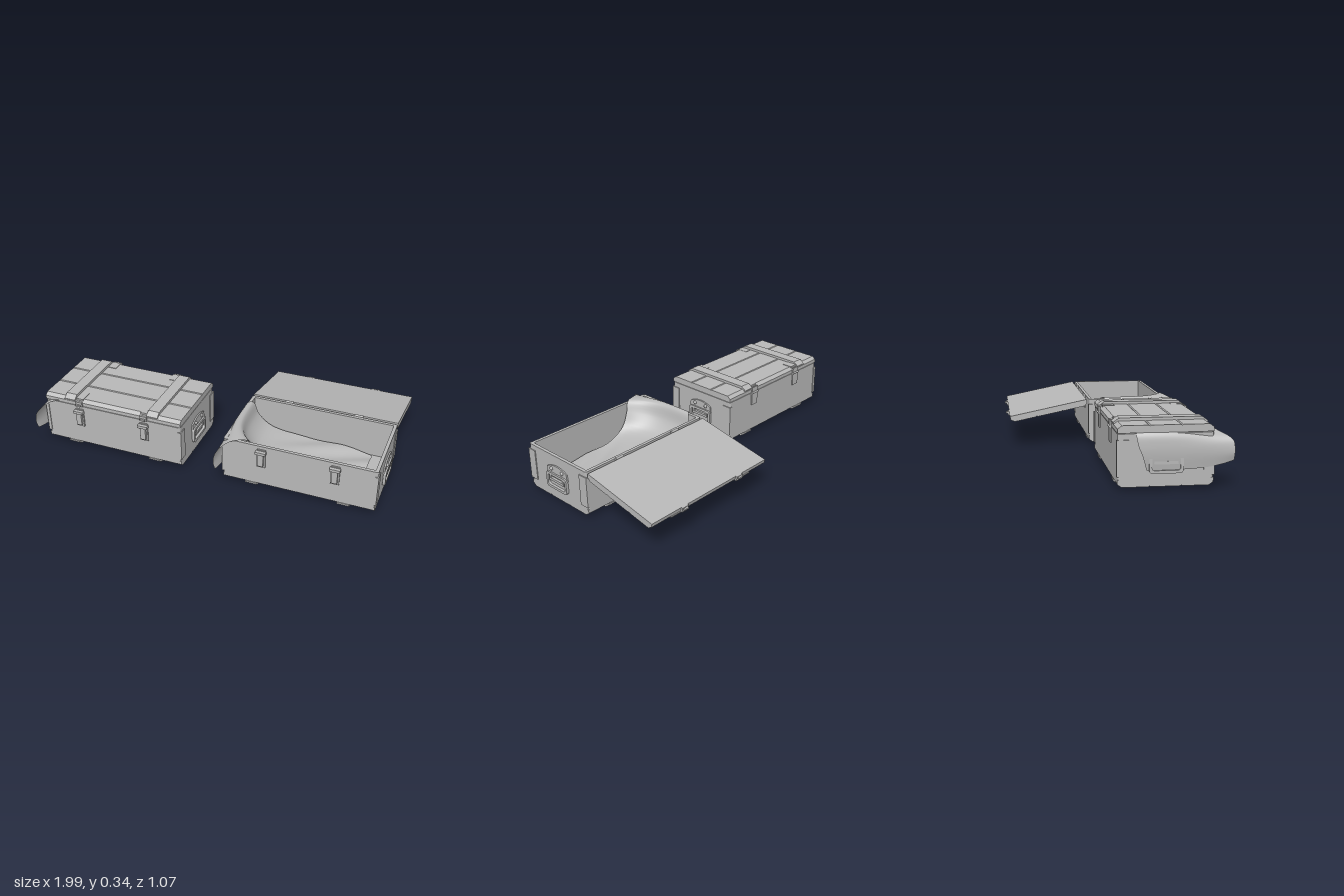
import * as THREE from 'three';

const metal = new THREE.MeshStandardMaterial({ color: 0xb8b8b8 });
metal.name = 'grey';
const cloth = new THREE.MeshStandardMaterial({ color: 0xb8b8b8, side: THREE.DoubleSide });
cloth.name = 'grey cloth';

function add(parent, name, geo, mat = metal) {
  const m = new THREE.Mesh(geo, mat);
  m.name = name;
  parent.add(m);
  return m;
}

function box(parent, name, x0, x1, y0, y1, z0, z1) {
  const g = new THREE.BoxGeometry(x1 - x0, y1 - y0, z1 - z0);
  g.translate((x0 + x1) / 2, (y0 + y1) / 2, (z0 + z1) / 2);
  return add(parent, name, g);
}

// Extrudes a (z, y) outline along x
function alongX(outline, x0, x1) {
  const shape = outline instanceof THREE.Shape
    ? outline : new THREE.Shape(outline.map(p => new THREE.Vector2(p[0], p[1])));
  const g = new THREE.ExtrudeGeometry(shape, { depth: x1 - x0, bevelEnabled: false, curveSegments: 6 });
  return g.rotateY(-Math.PI / 2).translate(x1, 0, 0);
}

function roundRect(target, x0, x1, y0, y1, r) {
  target.moveTo(x0 + r, y0);
  target.lineTo(x1 - r, y0);
  target.quadraticCurveTo(x1, y0, x1, y0 + r);
  target.lineTo(x1, y1 - r);
  target.quadraticCurveTo(x1, y1, x1 - r, y1);
  target.lineTo(x0 + r, y1);
  target.quadraticCurveTo(x0, y1, x0, y1 - r);
  target.lineTo(x0, y0 + r);
  target.quadraticCurveTo(x0, y0, x0 + r, y0);
  return target;
}

const HALF = 0.425, BACK = -0.04, FRONT = 0.432;
const STRAPS = [-0.265, 0.255], LATCHES = [-0.205, 0.203];

// Three boards with softened outer edges; y runs from the inner face (0) outwards
function boards(parent, name, z0, z1, t, dir, y) {
  const w = (z1 - z0) / 3, c = 0.004;
  for (let i = 0; i < 3; i++) {
    const a = z0 + i * w, b = a + w;
    const ca = i === 0 ? 0.016 : c, cb = i === 2 ? 0.016 : c;
    let pts = [[a, 0], [b, 0], [b, t - cb], [b - cb * 1.3, t], [a + ca * 1.3, t], [a, t - ca]];
    pts = pts.map(p => [p[0], y + dir * p[1]]);
    add(parent, name, alongX(pts, -HALF, HALF));
  }
}

function makeLid() {
  const lid = new THREE.Group();
  lid.name = 'lid';
  boards(lid, 'lidBoard', 0.008, 0.48, 0.037, 1, 0.001);
  for (const x of STRAPS) {
    add(lid, 'lidStrap', alongX([[0.006, 0.026], [0.482, 0.026], [0.482, 0.032],
      [0.452, 0.053], [0.036, 0.053], [0.006, 0.032]], x - 0.033, x + 0.033));
  }
  for (const x of LATCHES) {
    // Catch wrapped over the front edge
    box(lid, 'latchCatch', x - 0.022, x + 0.022, 0.0, 0.028, 0.478, 0.49);
    box(lid, 'latchCatchTop', x - 0.022, x + 0.022, 0.026, 0.04, 0.4, 0.47);
    box(lid, 'latchHook', x - 0.014, x + 0.014, 0.004, 0.014, 0.485, 0.5);
    // Hinge leaf on the back edge
    box(lid, 'hingeLeaf', x - 0.026, x + 0.026, 0.004, 0.034, 0.0, 0.01);
    box(lid, 'hingeLeafTop', x - 0.026, x + 0.026, 0.03, 0.041, 0.02, 0.085);
  }
  return lid;
}

function makeHandle() {
  const h = new THREE.Group();
  h.name = 'sideHandle';
  // Back plate with an arched top
  const plate = new THREE.Shape();
  plate.moveTo(-0.085, 0.165);
  plate.lineTo(0.085, 0.165);
  plate.lineTo(0.08, 0.205);
  plate.quadraticCurveTo(0, 0.245, -0.08, 0.205);
  add(h, 'handlePlate', alongX(plate, 0, 0.008));
  // Hanging loop
  const loop = roundRect(new THREE.Shape(), -0.084, 0.084, 0.085, 0.178, 0.02);
  loop.holes.push(roundRect(new THREE.Path(), -0.07, 0.07, 0.1, 0.163, 0.014));
  add(h, 'handleLoop', alongX(loop, 0.002, 0.017));
  box(h, 'handleGrip', 0.002, 0.016, 0.13, 0.145, -0.058, 0.058);
  for (const s of [-1, 1]) {
    box(h, 'handleArm', 0.0, 0.014, 0.132, 0.172, s * 0.053 - 0.007, s * 0.053 + 0.007);
    const rivet = new THREE.SphereGeometry(0.011, 12, 8);
    add(h, 'rivet', rivet).position.set(0.007, 0.2, s * 0.043);
  }
  h.position.z = 0.196;
  return h;
}

// Draped cloth: each row is back edge [x, y, z] then front edge [x, y, z]
const DRAPE = [
  [-0.434, 0.10, 0.10, -0.435, 0.14, 0.53],
  [-0.443, 0.17, 0.08, -0.445, 0.18, 0.532],
  [-0.443, 0.22, 0.06, -0.435, 0.24, 0.525],
  [-0.435, 0.268, 0.05, -0.39, 0.278, 0.465],
  [-0.418, 0.289, 0.05, -0.34, 0.291, 0.437],
  [-0.395, 0.28, 0.03, -0.28, 0.288, 0.418],
  [-0.37, 0.20, 0.01, -0.25, 0.23, 0.4],
  [-0.30, 0.13, 0.0, -0.2, 0.15, 0.39],
  [-0.12, 0.095, -0.005, -0.08, 0.1, 0.385],
  [0.12, 0.085, -0.008, 0.12, 0.085, 0.395],
  [0.31, 0.075, -0.008, 0.325, 0.075, 0.38],
];

function makeCloth() {
  const back = new THREE.CatmullRomCurve3(DRAPE.map(d => new THREE.Vector3(d[0], d[1], d[2])));
  const front = new THREE.CatmullRomCurve3(DRAPE.map(d => new THREE.Vector3(d[3], d[4], d[5])));
  const U = 50, V = 24;
  const g = new THREE.PlaneGeometry(1, 1, V, U);
  const pos = g.attributes.position;
  for (let i = 0; i <= U; i++) {
    const a = back.getPoint(i / U), b = front.getPoint(i / U);
    for (let j = 0; j <= V; j++) {
      const t = j / V, k = t ** 4;
      const x = a.x + (b.x - a.x) * k;
      const inside = THREE.MathUtils.smoothstep(x, -0.32, 0.1);
      const fold = 0.014 * inside * Math.sin(14 * x + 9 * t) * Math.sin(6 * t + 5 * x);
      const y = a.y + (b.y - a.y) * k + fold;
      pos.setXYZ(i * (V + 1) + j, x, y, a.z + (b.z - a.z) * t);
    }
  }
  g.computeVertexNormals();
  return g;
}

function makeCrate(name, x, lidAngle) {
  const crate = new THREE.Group();
  crate.name = name;

  // Hollow body
  const wall = roundRect(new THREE.Shape(), -HALF, HALF, -FRONT, -BACK, 0.014);
  wall.holes.push(roundRect(new THREE.Path(), -HALF + 0.018, HALF - 0.018, -FRONT + 0.018, -BACK - 0.018, 0.004));
  const walls = new THREE.ExtrudeGeometry(wall, { depth: 0.227, bevelEnabled: false, curveSegments: 5 });
  add(crate, 'bodyWalls', walls.rotateX(-Math.PI / 2).translate(0, 0.053, 0));

  // Floor boards and skids
  boards(crate, 'floorBoard', BACK, FRONT, 0.037, -1, 0.055);
  for (const s of STRAPS) {
    add(crate, 'skid', alongX([[BACK, 0.03], [BACK, 0.02], [BACK + 0.03, 0],
      [FRONT - 0.03, 0], [FRONT, 0.02], [FRONT, 0.03]], s - 0.033, s + 0.033));
  }

  // Corner guards
  for (const s of [-1, 1]) {
    const e0 = s > 0 ? HALF - 0.002 : -HALF - 0.005, e1 = e0 + 0.007;
    const f0 = s > 0 ? HALF - 0.014 : -HALF - 0.005, f1 = f0 + 0.019;
    box(crate, 'cornerGuard', e0, e1, 0.07, 0.25, FRONT - 0.05, FRONT + 0.004);
    box(crate, 'cornerGuard', e0, e1, 0.07, 0.25, BACK - 0.004, BACK + 0.054);
    box(crate, 'cornerGuardFront', f0, f1, 0.07, 0.25, FRONT - 0.008, FRONT + 0.004);
    box(crate, 'cornerGuardBack', f0, f1, 0.07, 0.25, BACK - 0.004, BACK + 0.008);

    const handle = makeHandle();
    handle.position.x = s * HALF;
    if (s < 0) handle.rotation.y = Math.PI;
    crate.add(handle);
  }

  // Latches in front, hinges behind
  for (const l of LATCHES) {
    box(crate, 'latchPlate', l - 0.024, l + 0.024, 0.15, 0.262, FRONT - 0.002, FRONT + 0.008);
    box(crate, 'latchLever', l - 0.016, l + 0.016, 0.165, 0.25, FRONT + 0.006, FRONT + 0.022);
    box(crate, 'latchBar', l - 0.029, l + 0.029, 0.24, 0.256, FRONT + 0.004, FRONT + 0.028);
    box(crate, 'hingePlate', l - 0.026, l + 0.026, 0.2, 0.276, BACK - 0.006, BACK + 0.002);
    const pin = new THREE.CylinderGeometry(0.007, 0.007, 0.052, 10).rotateZ(Math.PI / 2);
    add(crate, 'hingePin', pin).position.set(l, 0.281, BACK - 0.007);
  }

  add(crate, 'drapedCloth', makeCloth(), cloth);

  const lid = makeLid();
  lid.position.set(0, 0.282, BACK - 0.008);
  lid.rotation.x = lidAngle;
  crate.add(lid);

  crate.position.x = x;
  return crate;
}

export function createModel() {
  const model = new THREE.Group();
  model.name = 'storageCrates';
  model.add(makeCrate('closedCrate', -0.55, 0));
  model.add(makeCrate('openCrate', 0.555, THREE.MathUtils.degToRad(168.5)));
  return model;
}
